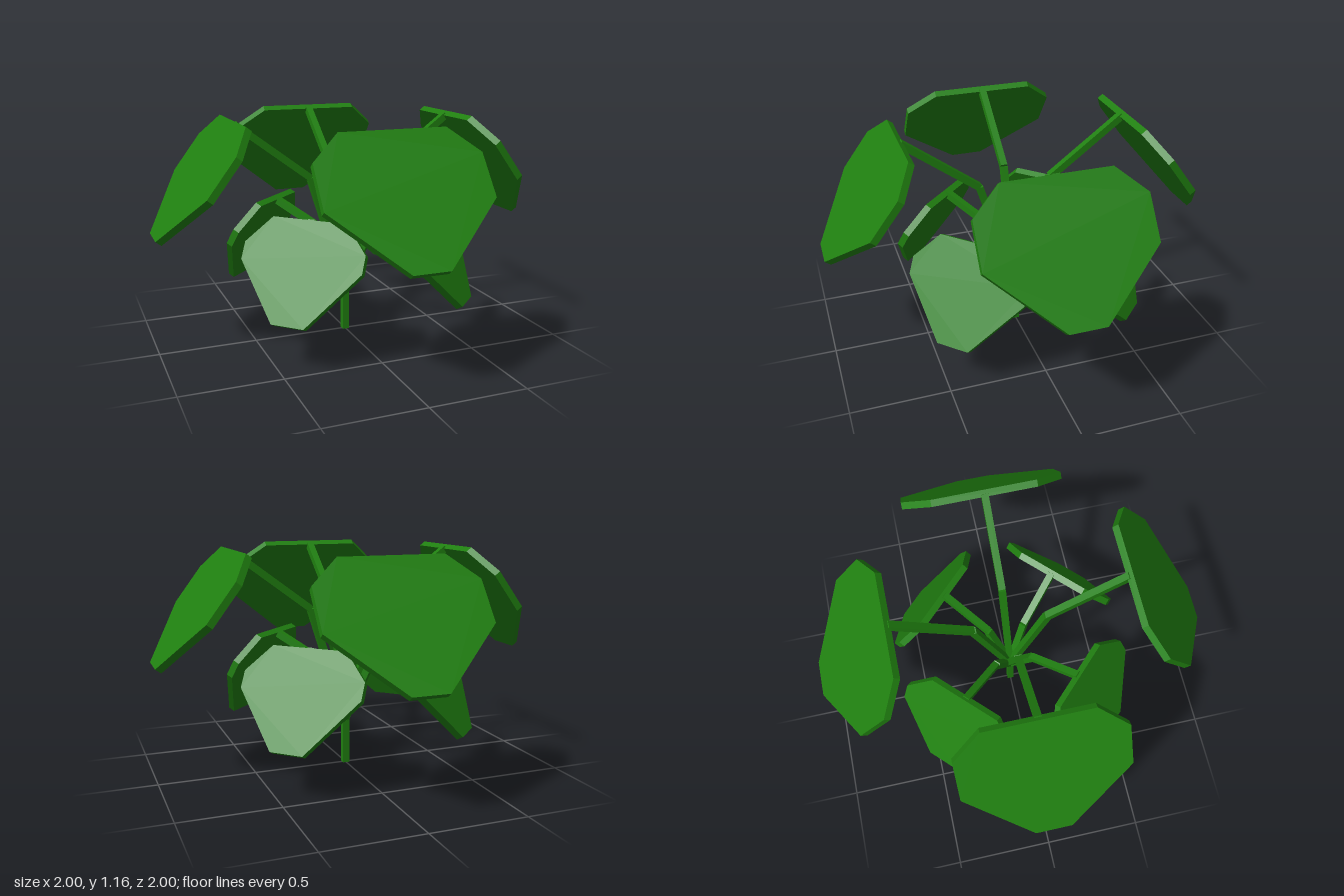
import * as THREE from 'three';

const WIDTH = 0.036; // square stem section
const THICK = 0.035; // leaf thickness

// Square bar in the y-z plane between two [z, y] points
function bar(a, b, material, name) {
  const dz = b[0] - a[0], dy = b[1] - a[1];
  const mesh = new THREE.Mesh(new THREE.BoxGeometry(WIDTH, Math.hypot(dz, dy), WIDTH), material);
  mesh.position.set(0, (a[1] + b[1]) / 2, (a[0] + b[0]) / 2);
  mesh.rotation.x = Math.atan2(dz, dy);
  mesh.name = name;
  return mesh;
}

// Flat eight-sided leaf from [half width, distance below the top edge] pairs
function leafGeometry(profile) {
  const right = profile.map(([w, d]) => new THREE.Vector2(w, -d));
  const left = profile.map(([w, d]) => new THREE.Vector2(-w, -d)).reverse();
  const geometry = new THREE.ExtrudeGeometry(new THREE.Shape([...right, ...left]), { depth: THICK, bevelEnabled: false });
  return geometry.translate(0, 0, -THICK); // outer face on z = 0
}

// Four equal branches around the trunk
const tiers = [
  {
    name: 'upper', turn: 0, bend: [0.19, 0.845], tip: [0.578, 1.136],
    leafTop: [0.588, 1.157], tilt: -0.6435,
    profile: [[0.265, 0], [0.41, 0.14], [0.41, 0.37], [0.09, 0.685]],
  },
  {
    name: 'lower', turn: Math.PI / 4, bend: [0.14, 0.545], tip: [0.413, 0.685],
    leafTop: [0.423, 0.702], tilt: -0.506,
    profile: [[0.195, 0], [0.318, 0.14], [0.318, 0.23], [0.085, 0.52]],
  },
];

export function createModel() {
  const model = new THREE.Group();
  model.name = 'plant';
  const green = new THREE.MeshStandardMaterial({ color: 0x208010, flatShading: true });

  model.add(bar([0, 0], [0, 0.25], green, 'trunk'));

  for (const tier of tiers) {
    const geometry = leafGeometry(tier.profile);
    for (let i = 0; i < 4; i++) {
      const branch = new THREE.Group();
      branch.name = tier.name + 'Branch';
      branch.rotation.y = tier.turn + i * Math.PI / 2;

      branch.add(bar([0, 0.24], tier.bend, green, 'lowerStem'));
      branch.add(bar(tier.bend, tier.tip, green, 'upperStem'));

      const leaf = new THREE.Mesh(geometry, green);
      leaf.name = tier.name + 'Leaf';
      leaf.position.set(0, tier.leafTop[1], tier.leafTop[0]);
      leaf.rotation.x = tier.tilt;
      branch.add(leaf);
      model.add(branch);
    }
  }
  return model;
}
